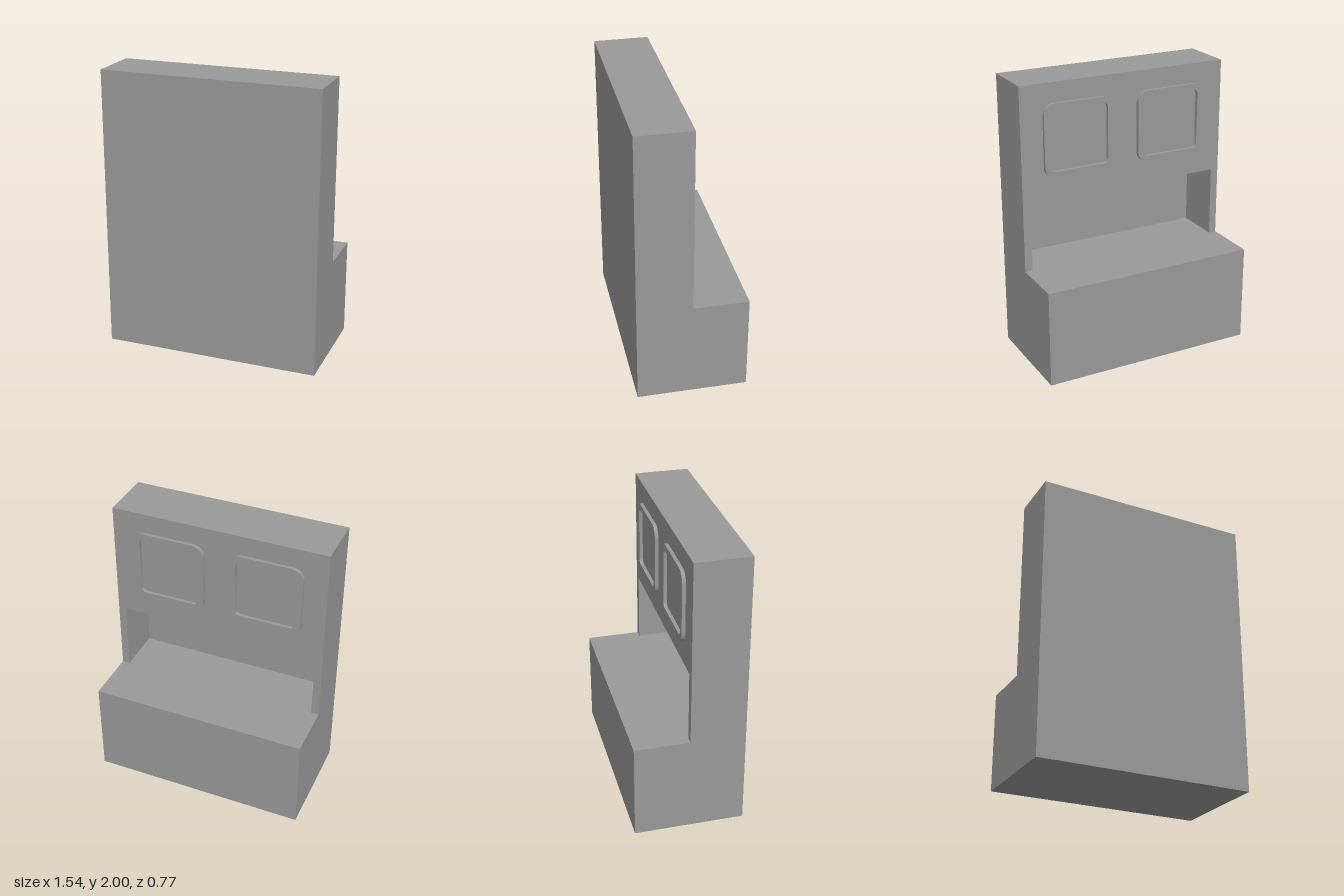
import * as THREE from 'three';
import { toCreasedNormals } from 'three/addons/utils/BufferGeometryUtils.js';

const W = 1.54, H = 2, D = 0.77;
const COUNTER = 0.69, NICHE_TOP = 1.19, WALL = 0.055;

const material = new THREE.MeshStandardMaterial({ color: 0x999999 });

function add(group, name, geometry, x = 0, y = 0, z = 0) {
  const mesh = new THREE.Mesh(geometry, material);
  mesh.name = name;
  mesh.position.set(x, y, z);
  group.add(mesh);
}

// Rounded square centred on the origin
function roundedSquare(path, size, r) {
  const h = size / 2, c = h - r;
  path.moveTo(-c, -h);
  path.lineTo(c, -h);
  path.absarc(c, -c, r, -Math.PI / 2, 0);
  path.lineTo(h, c);
  path.absarc(c, c, r, 0, Math.PI / 2);
  path.lineTo(-c, h);
  path.absarc(-c, c, r, Math.PI / 2, Math.PI);
  path.lineTo(-h, -c);
  path.absarc(-c, -c, r, Math.PI, Math.PI * 1.5);
  return path;
}

export function createModel() {
  const group = new THREE.Group();
  group.name = 'counterUnit';

  // Solid lower cabinet
  add(group, 'baseCabinet', new THREE.BoxGeometry(W, COUNTER, D), 0, COUNTER / 2, 0);

  // Upper cabinet: side posts and header around an open niche
  const x = W / 2, n = x - WALL;
  const arch = new THREE.Shape([
    [-x, COUNTER], [-n, COUNTER], [-n, NICHE_TOP], [n, NICHE_TOP],
    [n, COUNTER], [x, COUNTER], [x, H], [-x, H],
  ].map(([px, py]) => new THREE.Vector2(px, py)));
  add(group, 'upperCabinet', new THREE.ExtrudeGeometry(arch, { depth: D / 2 - WALL, bevelEnabled: false }));

  // Wall closing the niche
  add(group, 'nicheWall', new THREE.BoxGeometry(W, H - COUNTER, WALL),
    0, (H + COUNTER) / 2, D / 2 - WALL / 2);

  // Two raised rounded frames on the header
  const frame = roundedSquare(new THREE.Shape(), 0.514, 0.08);
  frame.holes.push(roundedSquare(new THREE.Path(), 0.427, 0.033));
  const frameGeometry = toCreasedNormals(
    new THREE.ExtrudeGeometry(frame, { depth: 0.025, bevelEnabled: false, curveSegments: 8 }), 0.6);
  for (const side of [-1, 1]) {
    add(group, side > 0 ? 'leftFrame' : 'rightFrame', frameGeometry, side * 0.352, 1.603, -0.025);
  }

  return group;
}
